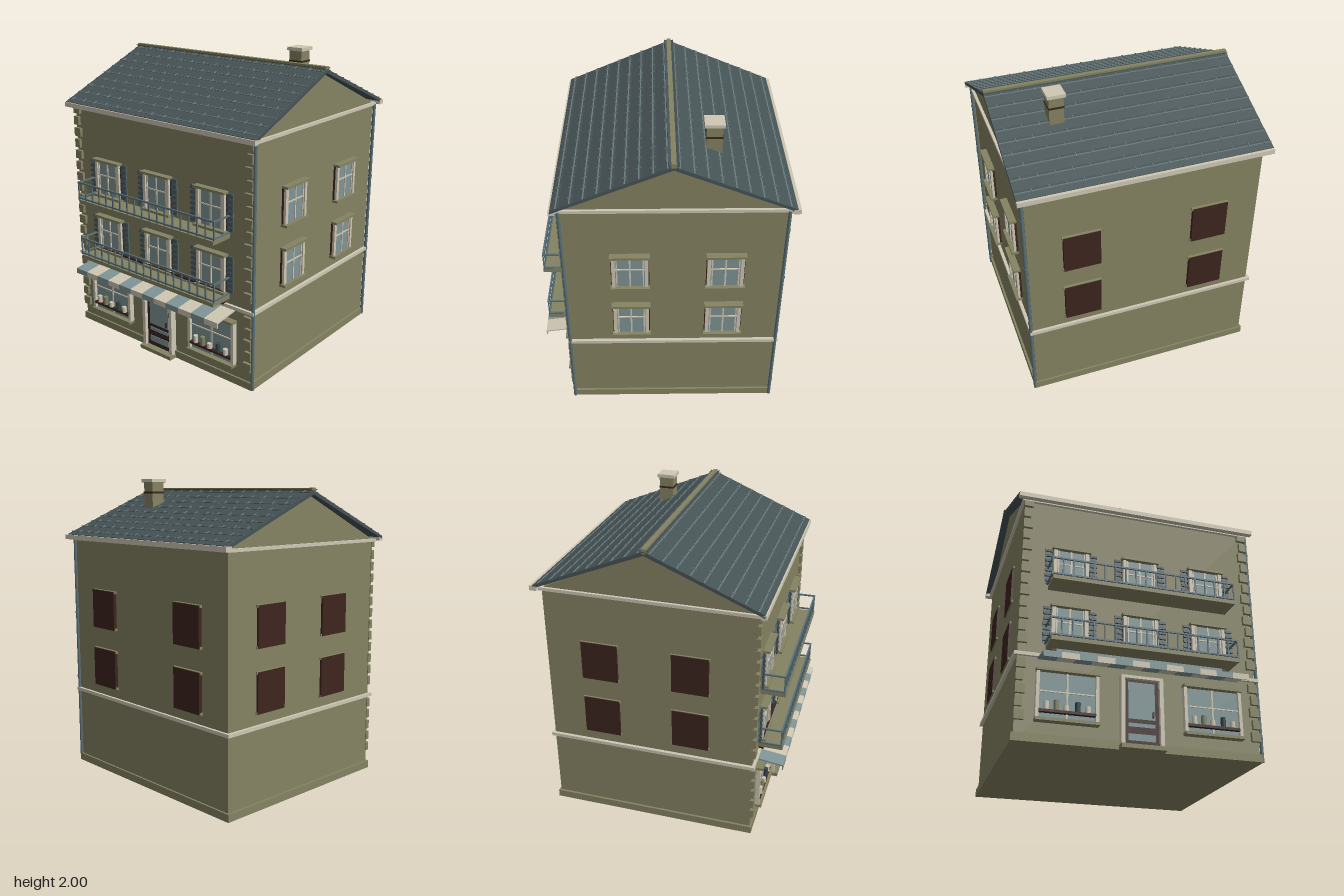
import * as THREE from 'three';
import { mergeGeometries } from 'three/addons/utils/BufferGeometryUtils.js';

const mat = (name, color, side = THREE.FrontSide) => {
  const m = new THREE.MeshStandardMaterial({ color, side });
  m.name = name;
  return m;
};

export function createModel() {
  const olive = mat('olive stucco', 0x858362);
  const cream = mat('cream trim', 0xcfc8b4);
  const slate = mat('roof slate', 0x465355);
  const slateEdge = mat('slate edge', 0x6c7d80);
  const glass = mat('pale blue', 0x809596);
  const brown = mat('dark brown wood', 0x3d251e);
  const iron = mat('blue iron', 0x5b7178);
  const dark = mat('shutter slate', 0x38464a);

  const model = new THREE.Group();
  model.name = 'townhouse';
  const group = (name, parent = model, x = 0, y = 0, z = 0) => {
    const g = new THREE.Group();
    g.name = name;
    g.position.set(x, y, z);
    parent.add(g);
    return g;
  };
  const add = (name, geo, m, parent = model) => {
    const mesh = new THREE.Mesh(geo, m);
    mesh.name = name;
    parent.add(mesh);
    return mesh;
  };
  // Box geometry given by its extents on each axis
  const span = (x0, x1, y0, y1, z0, z1) =>
    new THREE.BoxGeometry(x1 - x0, y1 - y0, z1 - z0).translate((x0 + x1) / 2, (y0 + y1) / 2, (z0 + z1) / 2);
  const box = (name, m, parent, ...e) => add(name, span(...e), m, parent);
  // Outline in (z, y) drawn out along x
  const extrudeX = (pts, length) => new THREE.ExtrudeGeometry(
    new THREE.Shape(pts.map(p => new THREE.Vector2(...p))), { depth: length, bevelEnabled: false })
    .rotateY(-Math.PI / 2).translate(length / 2, 0, 0);

  const FRONT = 0.61, BACK = -0.73, SIDE = 0.757, RIDGE = -0.055;

  // Walls with gables, plinth and string courses
  add('walls', extrudeX([[BACK, 0], [FRONT, 0], [FRONT, 1.6], [RIDGE, 1.9], [BACK, 1.6]], SIDE * 2), olive);
  box('plinth', olive, model, -0.772, 0.772, 0, 0.05, -0.742, 0.622);
  box('stringCourse', cream, model, -0.778, 0.778, 0.518, 0.54, -0.748, 0.628);
  box('eavesCourse', cream, model, -0.775, 0.775, 1.585, 1.605, -0.745, 0.63);

  // Roof
  const roof = group('roof');
  const eF = 0.655, eB = -0.77, L = 1.605;
  add('roofDeck', extrudeX([[eB, 1.605], [RIDGE, 1.9], [eF, 1.605], [eF, 1.625], [RIDGE, 1.925], [eB, 1.625]], L), slate, roof);
  box('ridge', olive, roof, -L / 2, L / 2, 1.91, 1.94, RIDGE - 0.015, RIDGE + 0.015);
  box('frontGutter', cream, roof, -L / 2, L / 2, 1.592, 1.622, 0.63, 0.665);
  box('backGutter', cream, roof, -L / 2, L / 2, 1.592, 1.622, -0.79, -0.745);
  const lips = [], slates = [];
  for (const s of [1, -1]) {
    const slope = 0.3 / (s > 0 ? eF - RIDGE : RIDGE - eB);
    for (let i = 0; i < 9; i++) {
      const d = 0.035 + 0.08 * i, y = 1.925 - slope * d, z = RIDGE + s * d;
      // slate course kicked up at its lower edge, with a bright lip
      slates.push(new THREE.BoxGeometry(L, 0.004, 0.07).rotateX(s * slope * 0.65).translate(0, y + 0.01, z - s * 0.033));
      lips.push(new THREE.BoxGeometry(L, 0.004, 0.008).translate(0, y + 0.003, z));
      for (let k = 0; k < 15; k++) {
        const x = -0.755 + 0.104 * k + (i % 2 ? 0.045 : 0);
        if (x < 0.8) lips.push(new THREE.BoxGeometry(0.004, 0.006, 0.028).rotateX(s * Math.atan(slope)).translate(x, y + 0.008, z));
      }
    }
  }
  add('slateCourses', mergeGeometries(slates), slate, roof);
  add('slateLips', mergeGeometries(lips), slateEdge, roof);

  // Chimney
  const chimney = group('chimney', model, 0.433, 0, -0.3);
  box('stack', olive, chimney, -0.046, 0.046, 1.75, 1.98, -0.048, 0.048);
  box('stackBand', brown, chimney, -0.049, 0.049, 1.903, 1.915, -0.051, 0.051);
  box('cap', cream, chimney, -0.058, 0.058, 1.978, 2, -0.06, 0.06);

  // Corner quoins on the front
  const quoins = [];
  for (let i = 0; i < 19; i++) {
    const y = 0.125 + 0.079 * i, w = i % 2 ? 0.045 : 0.058;
    if (y > 0.47 && y < 0.53) continue;
    for (const s of [-1, 1])
      quoins.push(new THREE.BoxGeometry(w, 0.058, 0.03).translate(s * (0.762 - w / 2), y + 0.029, FRONT + 0.005));
  }
  add('quoins', mergeGeometries(quoins), olive);

  // Sash window facing +z, base at y = 0
  const sashWindow = (parent, x, y, z, turn = 0) => {
    const g = group('window', parent, x, y, z);
    g.rotation.y = turn;
    box('windowBack', brown, g, -0.118, 0.118, 0.005, 0.255, 0, 0.012);
    box('pane', glass, g, -0.1, 0.1, 0.015, 0.25, 0.005, 0.016);
    for (const s of [-1, 1]) {
      box('jamb', cream, g, s * 0.102 - 0.011, s * 0.102 + 0.011, 0.015, 0.25, 0, 0.028);
      box('innerStile', cream, g, s * 0.082 - 0.004, s * 0.082 + 0.004, 0.015, 0.25, 0, 0.022);
    }
    box('mullion', cream, g, -0.005, 0.005, 0.015, 0.25, 0.01, 0.022);
    box('transom', cream, g, -0.09, 0.09, 0.147, 0.155, 0.01, 0.022);
    box('header', olive, g, -0.123, 0.123, 0.247, 0.263, 0, 0.045);
    box('sill', olive, g, -0.123, 0.123, 0, 0.016, 0, 0.045);
    return g;
  };
  // Closed wooden panel on the blank walls
  const closedPanel = (x, y, z, turn) => {
    const g = group('closedPanel', model, x, y, z);
    g.rotation.y = turn;
    box('panel', brown, g, -0.118, 0.118, 0.002, 0.26, 0, 0.022);
    box('panelHead', olive, g, -0.125, 0.125, 0.247, 0.263, 0, 0.018);
    box('panelSill', olive, g, -0.125, 0.125, 0, 0.016, 0, 0.018);
  };

  for (const y of [0.605, 1.005]) {
    // Front windows with louvred shutters
    for (const x of [-0.45, 0, 0.45]) {
      const w = sashWindow(model, x, y, FRONT);
      for (const s of [-1, 1]) {
        const slats = [];
        for (let i = 0; i < 7; i++)
          slats.push(new THREE.BoxGeometry(0.046, 0.021, 0.006).rotateX(-0.35).translate(s * 0.143, 0.028 + i * 0.035, 0.015));
        add('shutterSlats', mergeGeometries(slats), dark, w);
        box('shutterStile', iron, w, s * 0.143 - 0.02, s * 0.143 + 0.02, 0.012, 0.252, 0, 0.005);
      }
    }
    for (const z of [0.207, -0.378]) {
      sashWindow(model, SIDE, y, z, Math.PI / 2);
      closedPanel(-SIDE + 0.008, y, z, -Math.PI / 2);
    }
    for (const x of [0.42, -0.42]) closedPanel(x, y, BACK - 0.005, Math.PI);

    // Balcony slab and railing
    const b = group('balcony', model, 0, y - 0.005, 0);
    box('balconySlab', olive, b, -0.59, 0.585, -0.026, 0, FRONT, 0.768);
    const bars = [];
    for (const h of [0.012, 0.12]) {
      bars.push(span(-0.6, 0.59, h - 0.005, h + 0.005, 0.755, 0.765));
      for (const x of [-0.595, 0.585]) bars.push(span(x - 0.005, x + 0.005, h - 0.005, h + 0.005, FRONT, 0.765));
    }
    for (let i = 0; i <= 18; i++) {
      const x = -0.595 + i * 1.18 / 18;
      bars.push(span(x - 0.004, x + 0.004, 0, 0.12, 0.756, 0.764));
    }
    add('railing', mergeGeometries(bars), iron, b);
  }

  // Fascia board above the awning
  box('fasciaFrame', brown, model, -0.56, 0.555, 0.535, 0.625, FRONT, 0.64);
  box('fasciaPanel', glass, model, -0.53, 0.525, 0.547, 0.612, FRONT, 0.644);

  // Striped awning
  const awning = group('awning');
  for (let i = 0; i < 12; i++) {
    const w = 1.268 / 12;
    const stripe = add('awningStripe', extrudeX(
      [[0.615, 0.505], [0.78, 0.483], [0.78, 0.455], [0.787, 0.455], [0.787, 0.492], [0.615, 0.515]], w), i % 2 ? cream : glass, awning);
    stripe.position.x = -0.636 + w * (i + 0.5);
  }

  // Door, surround and step
  const door = group('door', model, -0.004, 0, FRONT);
  box('step', olive, door, -0.138, 0.138, 0, 0.026, 0, 0.068);
  for (const s of [-1, 1]) box('doorJamb', cream, door, s * 0.12 - 0.012, s * 0.12 + 0.012, 0.026, 0.45, 0, 0.045);
  box('doorHead', cream, door, -0.132, 0.132, 0.437, 0.455, 0, 0.045);
  box('doorLeaf', brown, door, -0.108, 0.108, 0.026, 0.437, 0, 0.02);
  box('doorPane', glass, door, -0.083, 0.083, 0.19, 0.42, 0.015, 0.024);
  box('doorLowerPane', glass, door, -0.083, 0.083, 0.142, 0.165, 0.015, 0.024);
  box('doorKickPane', glass, door, -0.083, 0.083, 0.058, 0.1, 0.015, 0.024);
  box('doorHandle', brown, door, 0.066, 0.073, 0.205, 0.24, 0.02, 0.036);

  // Shop windows with jars on a shelf
  const jars = [[-0.125, 0.05, cream], [-0.065, 0.06, olive], [-0.008, 0.035, cream], [0.062, 0.06, dark], [0.122, 0.04, cream]];
  for (const x of [-0.455, 0.452]) {
    const g = group('shopWindow', model, x, 0, FRONT);
    box('shopBack', brown, g, -0.185, 0.185, 0.135, 0.43, 0, 0.01);
    box('shopPane', glass, g, -0.17, 0.17, 0.14, 0.428, 0, 0.014);
    for (const s of [-1, 1]) box('shopJamb', cream, g, s * 0.178 - 0.01, s * 0.178 + 0.01, 0.138, 0.428, 0, 0.035);
    box('shopMullion', cream, g, -0.005, 0.005, 0.14, 0.428, 0.01, 0.02);
    box('shopTransom', cream, g, -0.17, 0.17, 0.304, 0.312, 0.01, 0.02);
    box('shopHead', olive, g, -0.19, 0.19, 0.425, 0.442, 0, 0.05);
    box('shopSill', olive, g, -0.19, 0.19, 0.122, 0.14, 0, 0.05);
    box('shelf', brown, g, -0.168, 0.168, 0.176, 0.192, 0.01, 0.04);
    for (const [jx, h, m] of jars)
      add('jar', new THREE.CylinderGeometry(0.016, 0.016, h, 10).translate(jx, 0.192 + h / 2, 0.027), m, g);
  }

  // Downpipes with brackets on the left corners
  for (const z of [0.612, -0.732]) {
    const p = group('downpipe', model, 0.77, 0, z);
    add('pipe', new THREE.CylinderGeometry(0.011, 0.011, 1.59, 10).translate(0, 0.797, 0), iron, p);
    for (const y of [0.15, 0.62, 1.08, 1.45])
      add('bracket', new THREE.CylinderGeometry(0.014, 0.014, 0.012, 10).translate(0, y, 0), iron, p);
  }
  return model;
}
